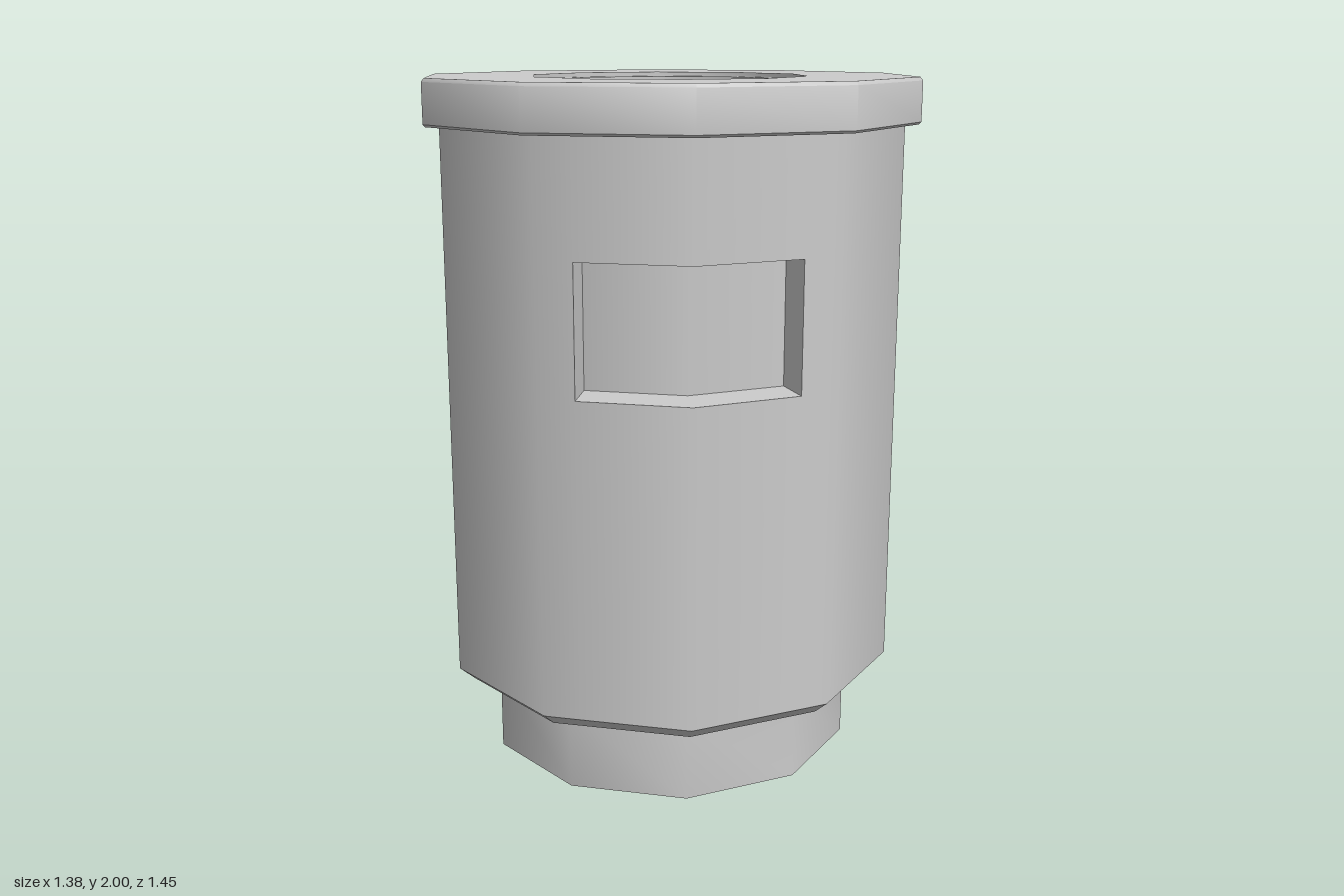
import * as THREE from 'three';
import { toCreasedNormals } from 'three/addons/utils/BufferGeometryUtils.js';

const SIDES = 10;
const CREASE = 0.69; // keeps the 36 degree corners smooth, profile edges sharp
const material = new THREE.MeshStandardMaterial({ color: 0xcccccc, side: THREE.DoubleSide });

function addMesh(parent, name, geometry) {
  const mesh = new THREE.Mesh(geometry, material);
  mesh.name = name;
  parent.add(mesh);
  return mesh;
}

// Ten-sided turned part from a [radius, y] profile, outside going upwards
function turned(profile) {
  const points = profile.map(([r, y]) => new THREE.Vector2(r, y));
  return toCreasedNormals(new THREE.LatheGeometry(points, SIDES), CREASE);
}

// Upright wall along a path of [x, z] points, shaded round the axis if smooth
function wall(path, y0, y1, smooth = true) {
  const position = [], normal = [], index = [];
  path.forEach(([x, z], i) => {
    const r = Math.hypot(x, z);
    for (const y of [y0, y1]) {
      position.push(x, y, z);
      normal.push(x / r, 0, z / r);
    }
    if (i > 0) {
      const a = 2 * i - 2;
      index.push(a, a + 2, a + 3, a, a + 3, a + 1);
    }
  });
  const geometry = new THREE.BufferGeometry();
  geometry.setAttribute('position', new THREE.Float32BufferAttribute(position, 3));
  geometry.setAttribute('normal', new THREE.Float32BufferAttribute(normal, 3));
  geometry.setIndex(index);
  if (!smooth) geometry.computeVertexNormals();
  return geometry;
}

export function createModel() {
  const model = new THREE.Group();

  // Open foot and chamfered underside of the body
  addMesh(model, 'foot', turned([[0.553, 0], [0.553, 0.235]]));
  addMesh(model, 'bodyChamfer', turned([[0.553, 0.235], [0.635, 0.235], [0.68, 0.275]]));

  // Window corners, measured along and across the direction of the corner at 36 degrees
  const step = (2 * Math.PI) / SIDES;
  const s = Math.sin(step), c = Math.cos(step);
  const local = (along, across) => [along * s + across * c, along * c - across * s];
  const outer = [local(0.583, -0.3), local(0.68, 0), local(0.583, 0.3)];
  const inner = [local(0.464, -0.272), local(0.55, 0), local(0.464, 0.272)];
  const [windowBottom, windowTop] = [1.185, 1.55];

  // Body wall, starting and ending at the window
  const corner = (i) => [0.68 * Math.sin(i * step), 0.68 * Math.cos(i * step)];
  const around = [outer[2]];
  for (let i = 2; i <= SIDES; i++) around.push(corner(i));
  around.push(outer[0]);
  const ring = [...around, outer[1], outer[2]];
  const body = new THREE.Group();
  body.name = 'body';
  model.add(body);
  addMesh(body, 'lowerWall', wall(ring, 0.275, windowBottom));
  addMesh(body, 'middleWall', wall(around, windowBottom, windowTop));
  addMesh(body, 'upperWall', wall(ring, windowTop, 1.87));

  // Recessed window
  const recess = new THREE.Group();
  recess.name = 'windowRecess';
  model.add(recess);
  addMesh(recess, 'recessBack', wall(inner, windowBottom, windowTop));
  addMesh(recess, 'recessRightSide', wall([outer[0], inner[0]], windowBottom, windowTop, false));
  addMesh(recess, 'recessLeftSide', wall([inner[2], outer[2]], windowBottom, windowTop, false));
  const outline = [...outer, ...inner.slice().reverse()].map(([x, z]) => new THREE.Vector2(x, z));
  const ledge = new THREE.ShapeGeometry(new THREE.Shape(outline)).rotateX(Math.PI / 2);
  addMesh(recess, 'recessSill', ledge).position.y = windowBottom;
  addMesh(recess, 'recessHead', ledge).position.y = windowTop;

  // Flange with a softened top edge and a stepped seat round the opening
  addMesh(model, 'flange', turned([
    [0.68, 1.87], [0.718, 1.87], [0.725, 1.877], [0.725, 1.99], [0.717, 2],
    [0.405, 2], [0.405, 1.987], [0.373, 1.987], [0.373, 1.965], [0.345, 1.965],
  ]));

  // Tapered socket with a slightly dished floor
  addMesh(model, 'socket', turned([[0.345, 1.965], [0.308, 1.89], [0.275, 1.45]]));
  addMesh(model, 'socketFloor', turned([[0.275, 1.45], [0.15, 1.4], [0, 1.38]]));

  return model;
}
